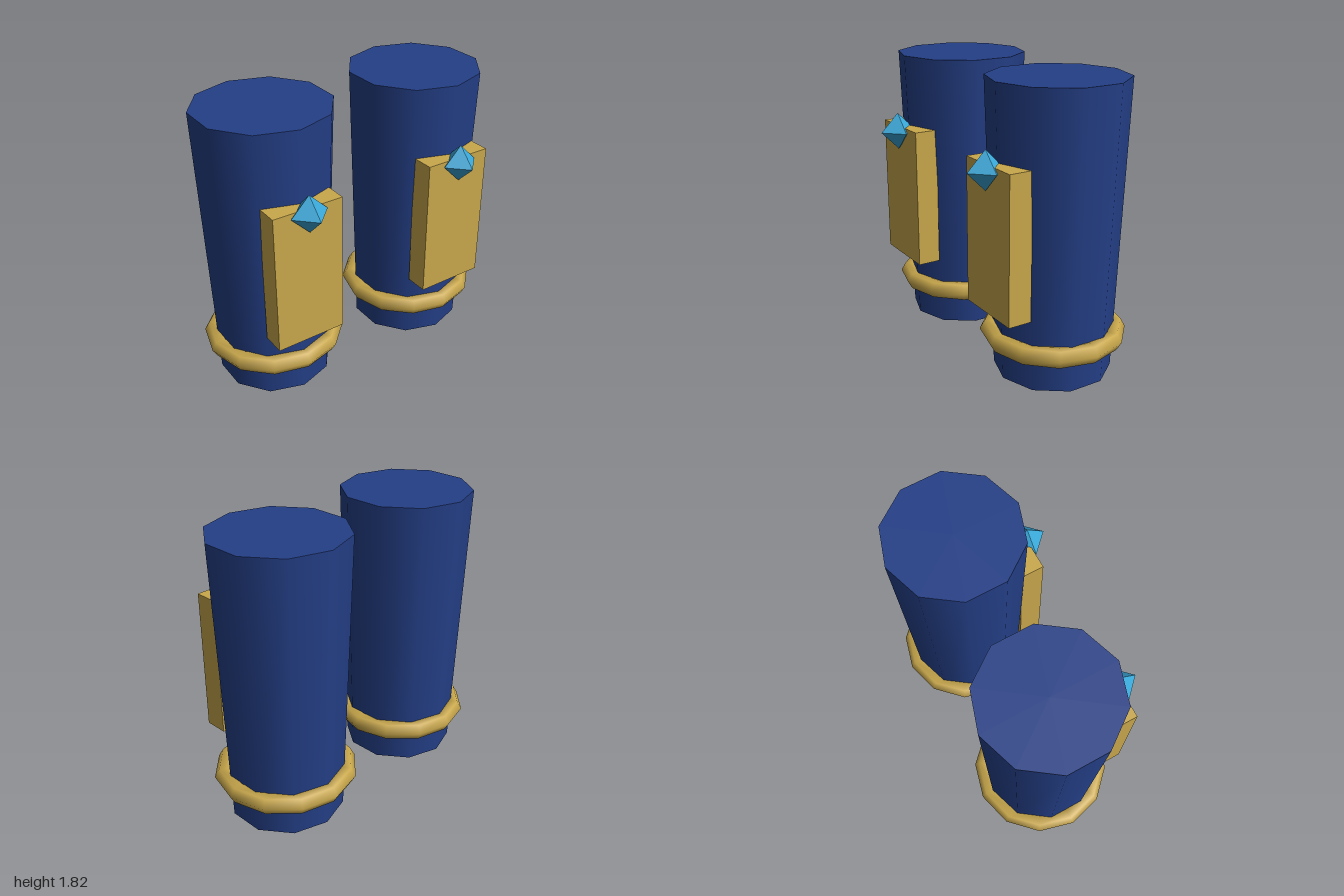
import * as THREE from 'three';

const material = (name, color, extra = {}) => {
  const m = new THREE.MeshStandardMaterial({ color, ...extra });
  m.name = name;
  return m;
};

export function createModel() {
  const blue = material('navy blue', 0x243f87);
  const gold = material('gold', 0xc9a84c);
  const cyan = material('gem blue', 0x3aa8d8, { flatShading: true });

  const add = (parent, name, geometry, mat, x, y, z) => {
    const mesh = new THREE.Mesh(geometry, mat);
    mesh.name = name;
    mesh.position.set(x, y, z);
    parent.add(mesh);
  };

  // Shared geometries
  const legGeo = new THREE.CylinderGeometry(0.423, 0.365, 1.82, 10);
  const ringGeo = new THREE.TorusGeometry(0.392, 0.061, 6, 12).rotateX(Math.PI / 2);
  const plateGeo = new THREE.BoxGeometry(0.455, 0.905, 0.15);
  const gemGeo = new THREE.OctahedronGeometry(0.12);

  // One armoured boot on each side
  const model = new THREE.Group();
  model.name = 'bootPair';
  for (const [name, side] of [['leftBoot', 1], ['rightBoot', -1]]) {
    const boot = new THREE.Group();
    boot.name = name;
    boot.position.x = side * 0.546;
    add(boot, 'shaft', legGeo, blue, 0, 0.91, -0.078);
    add(boot, 'ankleRing', ringGeo, gold, 0, 0.245, -0.078);
    add(boot, 'shinPlate', plateGeo, gold, 0, 0.9125, 0.32);
    add(boot, 'gem', gemGeo, cyan, 0, 1.335, 0.407);
    model.add(boot);
  }
  return model;
}
